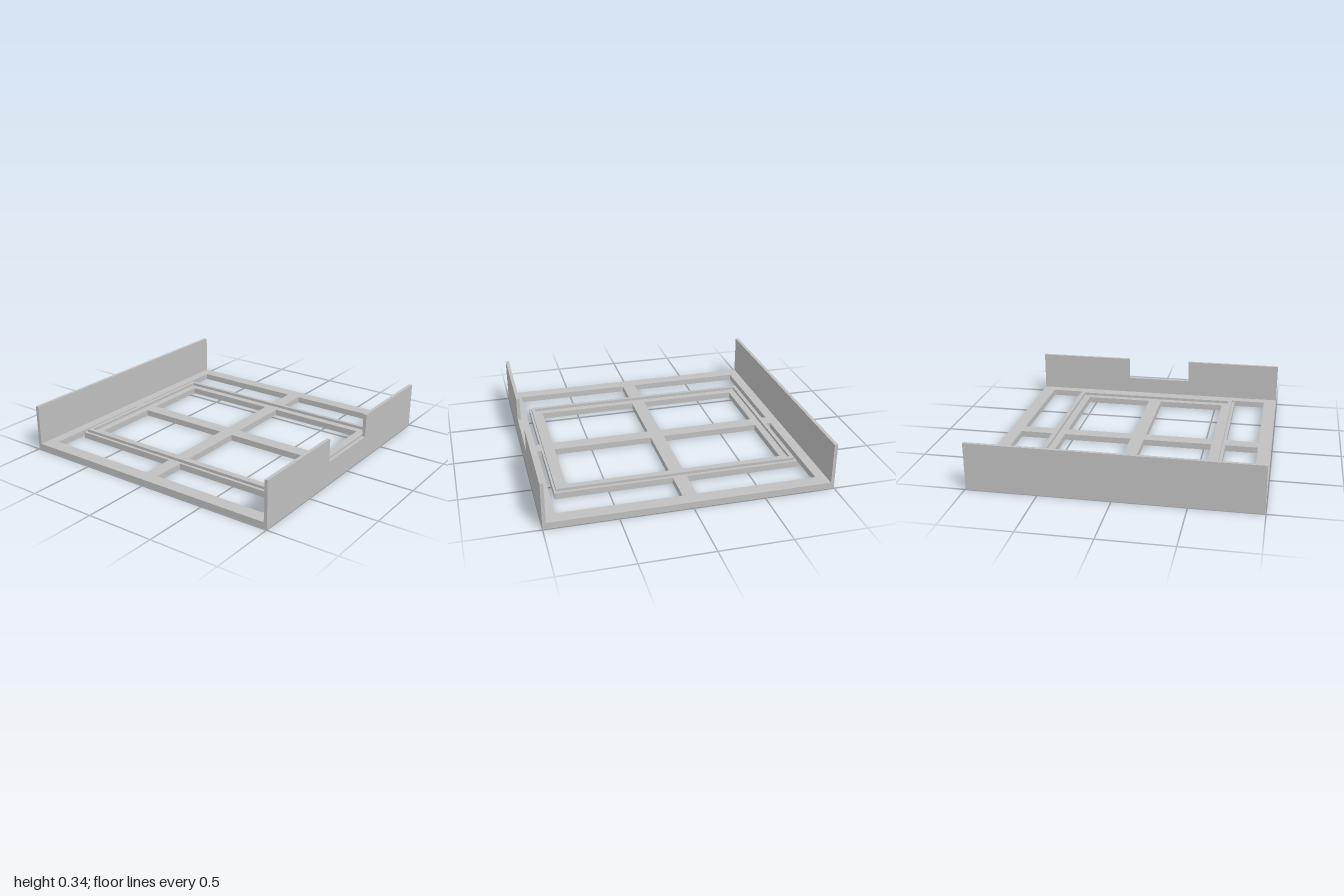
import * as THREE from 'three';

const gray = new THREE.MeshStandardMaterial({ color: 0xbfbfbf });
gray.name = 'plain gray';

const H = 0.336, T = 0.024, BASE = 0.045;

const path = (pts) => pts.map(([x, y]) => new THREE.Vector2(x, y));
const rect = (x, y) => path([[-x, -y], [x, -y], [x, y], [-x, y]]);

function extrude(name, outline, holes, depth) {
  const shape = new THREE.Shape(outline);
  for (const h of holes) shape.holes.push(new THREE.Path(h));
  const mesh = new THREE.Mesh(new THREE.ExtrudeGeometry(shape, { depth, bevelEnabled: false }), gray);
  mesh.name = name;
  return mesh;
}

export function createModel() {
  const model = new THREE.Group();
  model.name = 'tray';

  // Base grid: a window and an L-shaped gap in each quadrant
  const window_ = [[0.05, 0.05], [0.557, 0.05], [0.557, 0.776], [0.05, 0.776]];
  const gap = [[0.05, 0.903], [0.898, 0.903], [0.898, 0.05], [0.659, 0.05], [0.659, 0.871], [0.05, 0.871]];
  const holes = [];
  for (const sx of [-1, 1]) for (const sy of [-1, 1])
    for (const pts of [window_, gap]) holes.push(path(pts.map(([x, y]) => [x * sx, y * sy])));
  const base = extrude('baseGrid', rect(0.995, 1 - T), holes, BASE);
  base.rotation.x = -Math.PI / 2;
  model.add(base);

  // Raised rim on the inner frame
  const rim = extrude('raisedRim', rect(0.637, 0.856), [rect(0.61, 0.828)], 0.02);
  rim.rotation.x = -Math.PI / 2;
  rim.position.y = BASE;
  model.add(rim);

  // Front wall with a notch in its top edge
  const front = extrude('frontWall', path([
    [-0.995, 0], [0.995, 0], [0.995, H], [0.253, H], [0.253, 0.168],
    [-0.253, 0.168], [-0.253, H], [-0.995, H],
  ]), [], T);
  front.position.z = 1 - T;
  model.add(front);

  // Plain back wall
  const back = new THREE.Mesh(new THREE.BoxGeometry(1.99, H, T), gray);
  back.name = 'backWall';
  back.position.set(0, H / 2, -1 + T / 2);
  model.add(back);

  return model;
}
